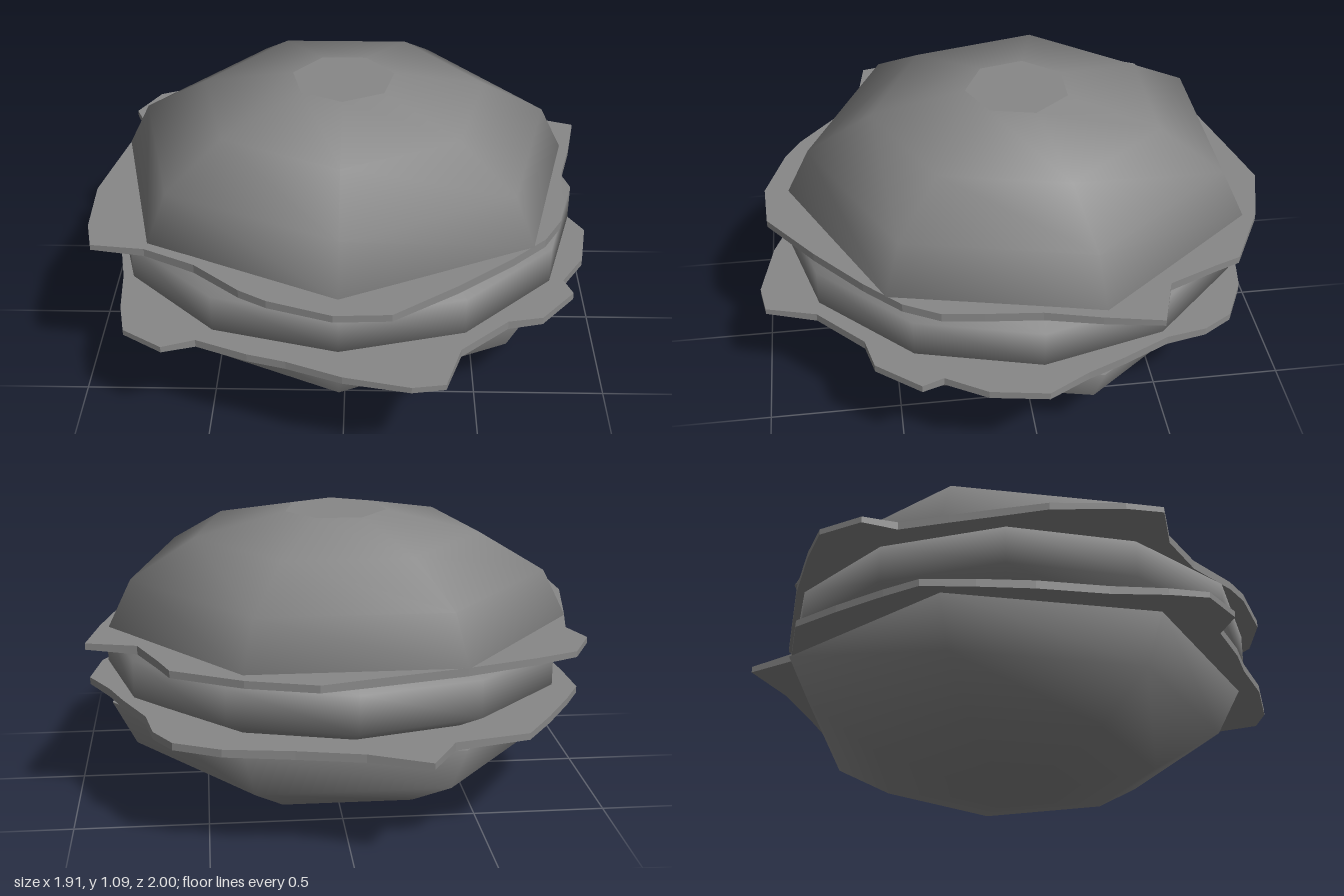
import * as THREE from 'three';
import { mergeGeometries } from 'three/addons/utils/BufferGeometryUtils.js';

const material = new THREE.MeshStandardMaterial({ color: 0x888888 });

// Smooth turned band through [radius, y] points, bottom to top
const band = (points, sides) =>
  new THREE.LatheGeometry(points.map(([r, y]) => new THREE.Vector2(r, y)), sides);

function part(name, geometry) {
  const mesh = new THREE.Mesh(geometry, material);
  mesh.name = name;
  return mesh;
}

// Seven-sided squashed half ball with a flat cap, shaded as round as a full half ball
function bun(name) {
  const radius = 0.893, height = 0.405, sides = 7;
  const profile = [7, 5, 3, 1].map((step) => {
    const angle = step * Math.PI / 14;
    return [radius * Math.sin(angle), height * Math.cos(angle)];
  });
  const dome = band(profile, sides);
  const { position, normal } = dome.attributes;
  const n = new THREE.Vector3();
  for (let i = 0; i < position.count; i++) {
    n.fromBufferAttribute(position, i);
    n.set(n.x / radius, n.y / height, n.z / radius).normalize();
    normal.setXYZ(i, n.x, n.y, n.z);
  }
  const [capRadius, capY] = profile[3];
  return part(name, mergeGeometries([
    band([[0, 0], [radius, 0]], sides),
    dome,
    band([[capRadius, capY], [0, capY]], sides),
  ]));
}

// Flat leaf with a ragged outline of [x, z] corners, thinning toward its tips
function leaf(name, outline, y) {
  const shape = new THREE.Shape(outline.map(([x, z]) => new THREE.Vector2(x, z)));
  const geometry = new THREE.ExtrudeGeometry(shape, { depth: 1, bevelEnabled: false });
  geometry.rotateX(Math.PI / 2);
  const p = geometry.attributes.position;
  for (let i = 0; i < p.count; i++) {
    const reach = Math.max(0, Math.hypot(p.getX(i), p.getZ(i)) - 0.85);
    const half = 0.017 - 0.03 * reach;
    p.setY(i, p.getY(i) < -0.5 ? -half : half);
  }
  const mesh = part(name, geometry);
  mesh.position.y = y;
  return mesh;
}

export function createModel() {
  const burger = new THREE.Group();
  burger.name = 'burger';

  // Buns, the lower one turned over
  const topBun = bun('topBun');
  topBun.position.set(-0.015, 0.695, -0.024);
  const bottomBun = bun('bottomBun');
  bottomBun.position.set(-0.015, 0.395, -0.024);
  bottomBun.rotation.z = Math.PI;

  // Twelve-sided patty with a softly rounded rim
  const patty = part('patty', mergeGeometries([
    band([[0, 0.425], [0.77, 0.425]], 12),
    band([[0.77, 0.425], [0.895, 0.492], [0.895, 0.632], [0.77, 0.69]], 12),
    band([[0.77, 0.69], [0, 0.69]], 12),
  ]));
  patty.position.x = -0.015;

  // Ragged lettuce leaves above and below the patty
  const upperLettuce = leaf('upperLettuce', [
    [0.12, -0.95], [0.37, -0.88], [0.62, -0.75], [0.66, -0.65], [0.74, -0.47],
    [0.93, -0.41], [0.89, -0.2], [0.84, 0], [0.82, 0.2], [0.8, 0.35], [0.73, 0.48],
    [0.6, 0.61], [0.4, 0.78], [0.17, 0.95], [-0.03, 0.96], [-0.26, 0.88],
    [-0.36, 0.82], [-0.53, 0.67], [-0.72, 0.57], [-0.92, 0.54], [-0.95, 0.41],
    [-0.96, 0.15], [-0.93, 0], [-0.89, -0.2], [-0.85, -0.38], [-0.9, -0.5],
    [-0.82, -0.66], [-0.66, -0.73], [-0.4, -0.82], [-0.04, -0.91],
  ], 0.679);
  const lowerLettuce = leaf('lowerLettuce', [
    [-0.26, -1], [-0.04, -0.91], [0.2, -0.86], [0.45, -0.82], [0.62, -0.74],
    [0.69, -0.63], [0.72, -0.48], [0.81, -0.3], [0.87, -0.16], [0.955, -0.01],
    [0.92, 0.2], [0.83, 0.35], [0.86, 0.43], [0.73, 0.59], [0.6, 0.62], [0.42, 0.79],
    [0.36, 0.98], [0.24, 1], [0, 0.95], [-0.2, 0.87], [-0.34, 0.83], [-0.53, 0.75],
    [-0.65, 0.79], [-0.8, 0.69], [-0.83, 0.55], [-0.85, 0.35], [-0.9, 0.1],
    [-0.92, -0.1], [-0.93, -0.29], [-0.86, -0.42], [-0.75, -0.6], [-0.64, -0.76],
    [-0.36, -0.83],
  ], 0.411);

  burger.add(bottomBun, lowerLettuce, patty, upperLettuce, topBun);
  return burger;
}
